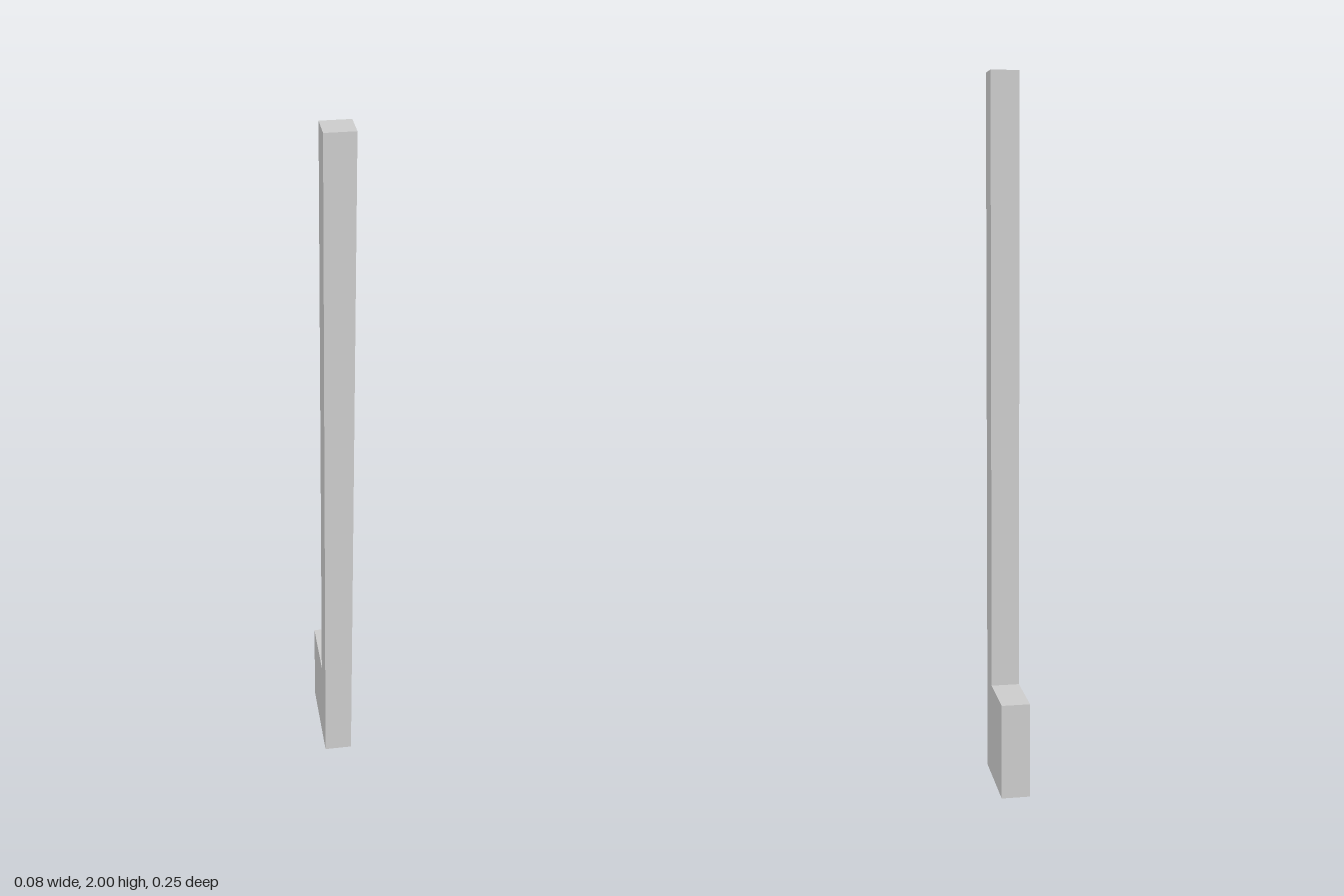
import * as THREE from 'three';

const WIDTH = 0.08;       // along x
const HALF_DEPTH = 0.126; // along z
const POST_BACK = 0.047;  // rear face of the upright
const FOOT_HEIGHT = 0.27;
const HEIGHT = 2;

export function createModel() {
  const group = new THREE.Group();
  group.name = 'footedPost';

  // L-shaped side profile: (z, y)
  const profile = new THREE.Shape([
    [-HALF_DEPTH, 0],
    [HALF_DEPTH, 0],
    [HALF_DEPTH, HEIGHT],
    [POST_BACK, HEIGHT],
    [POST_BACK, FOOT_HEIGHT],
    [-HALF_DEPTH, FOOT_HEIGHT],
  ].map(([z, y]) => new THREE.Vector2(z, y)));

  // Extrude across the width, then turn the profile to face sideways
  const geometry = new THREE.ExtrudeGeometry(profile, { depth: WIDTH, bevelEnabled: false });
  geometry.translate(0, 0, -WIDTH / 2);
  geometry.rotateY(-Math.PI / 2);

  // Upright and rear foot in one solid piece
  const post = new THREE.Mesh(
    geometry,
    new THREE.MeshStandardMaterial({ color: 0xcccccc, flatShading: true }),
  );
  post.name = 'postWithFoot';
  group.add(post);
  return group;
}
